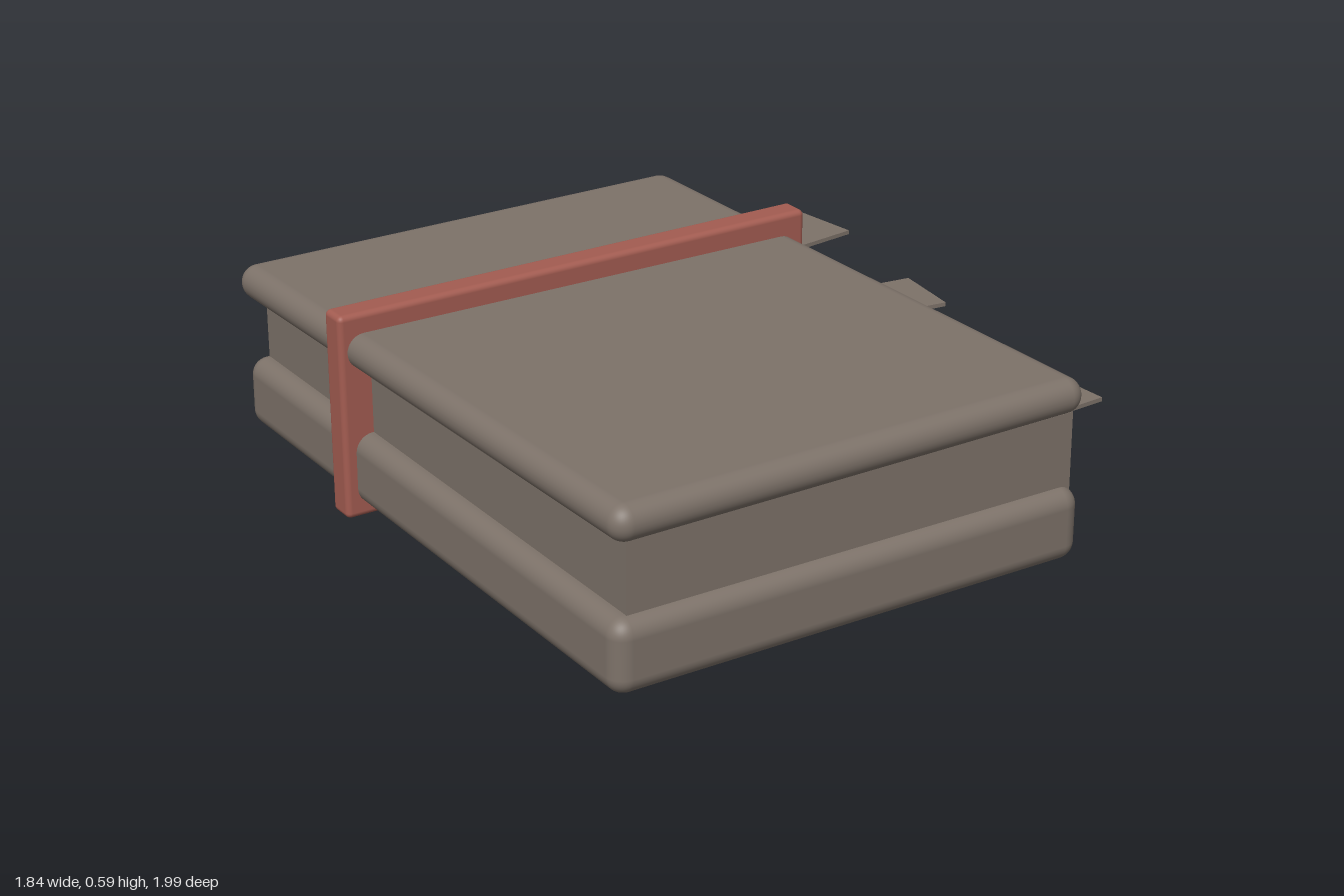
import * as THREE from 'three';
import { RoundedBoxGeometry } from 'three/addons/geometries/RoundedBoxGeometry.js';

export function createModel() {
  const model = new THREE.Group();
  model.name = 'strappedBook';

  const leather = new THREE.MeshStandardMaterial({ color: 0x7d7269 });
  leather.name = 'greyBrown';
  const strapRed = new THREE.MeshStandardMaterial({ color: 0xa35c51 });
  strapRed.name = 'dustyRed';

  function add(name, geometry, material, position, rotation = [0, 0, 0]) {
    const mesh = new THREE.Mesh(geometry, material);
    mesh.name = name;
    mesh.position.set(...position);
    mesh.rotation.set(...rotation);
    model.add(mesh);
    return mesh;
  }

  // Thick lower cover, page block and thin, slightly skewed upper cover
  add('lowerCover', new RoundedBoxGeometry(1.43, 0.205, 1.98, 5, 0.05), leather,
    [-0.17, 0.135, 0], [0, 0, -0.005]);
  add('pageBlock', new THREE.BoxGeometry(1.36, 0.26, 1.9), leather, [-0.15, 0.31, 0]);
  add('upperCover', new RoundedBoxGeometry(1.445, 0.1, 1.965, 5, 0.0495), leather,
    [-0.17, 0.48, -0.005], [-0.003, 0.016, -0.006]);

  // Closing strap around the whole book
  add('strap', new RoundedBoxGeometry(1.5, 0.59, 0.085, 3, 0.016), strapRed,
    [-0.17, 0.295, -0.365]);

  // Bookmark tabs: height, outer end z, turn about y
  const length = 0.46;
  const tabs = [
    [0.373, -0.675, 0.135],
    [0.319, -0.16, -0.12],
    [0.263, 0.517, 0.065],
  ];
  tabs.forEach(([y, z, turn], i) => {
    add(`bookmarkTab${i + 1}`, new THREE.BoxGeometry(length, 0.012, 0.215), leather,
      [0.905 - Math.cos(turn) * length / 2, y, z + Math.sin(turn) * length / 2],
      [0, turn, 0]);
  });

  return model;
}
